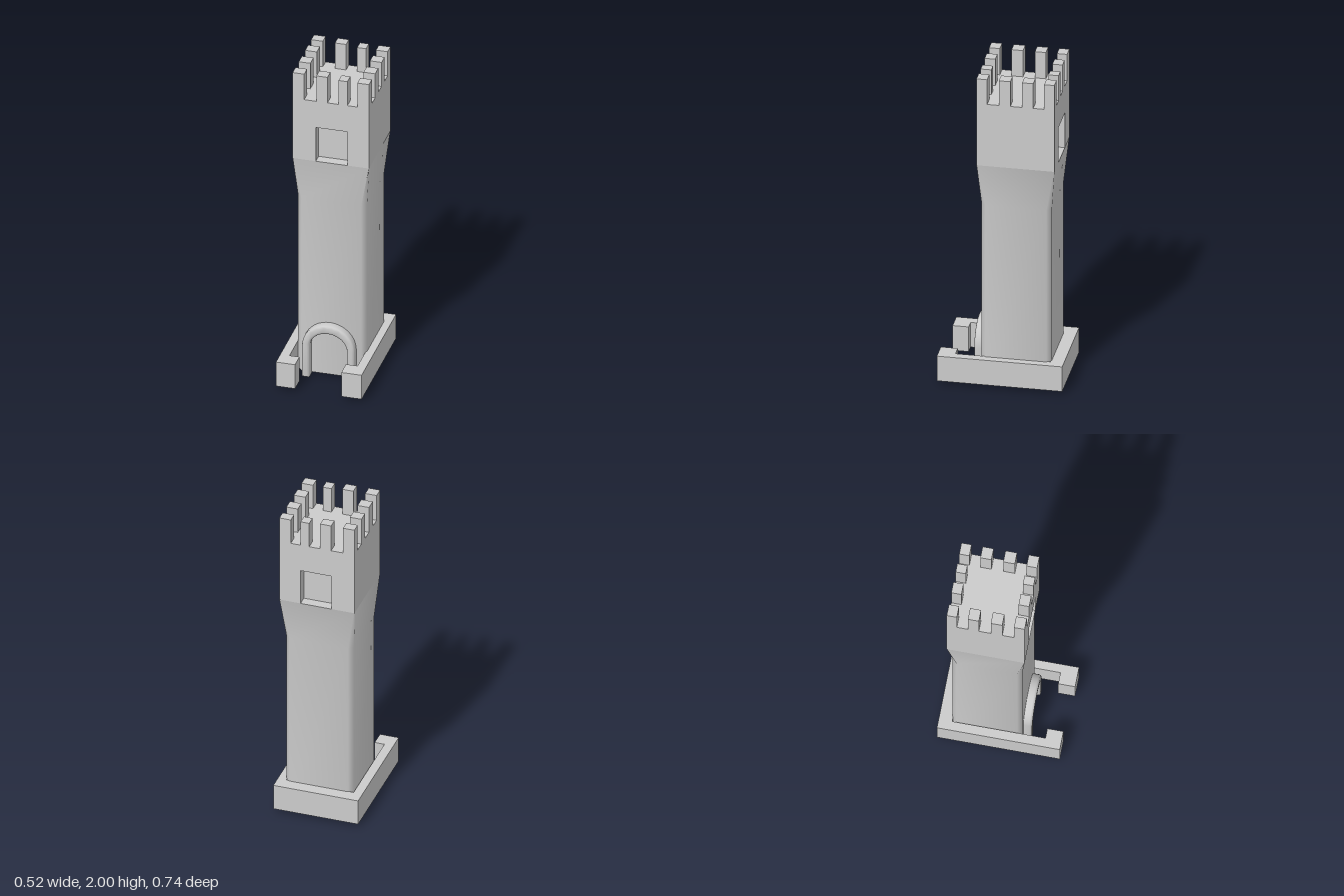
import * as THREE from 'three';
import { toCreasedNormals } from 'three/addons/utils/BufferGeometryUtils.js';

const material = new THREE.MeshStandardMaterial({ color: 0xcccccc });

function add(group, name, geometry) {
  const mesh = new THREE.Mesh(geometry, material);
  mesh.name = name;
  group.add(mesh);
  return mesh;
}

// Box given by its limits on each axis
function boxBetween(x0, x1, y0, y1, z0, z1) {
  return new THREE.BoxGeometry(x1 - x0, y1 - y0, z1 - z0)
    .translate((x0 + x1) / 2, (y0 + y1) / 2, (z0 + z1) / 2);
}

function polygon(points) {
  return new THREE.Shape(points.map(([x, y]) => new THREE.Vector2(x, y)));
}

// Loft of rectangles with cut corners, capped at both ends
function loft(sections) {
  const positions = [], index = [], n = 8;
  for (const { y, x0, x1, z0, z1, c } of sections) {
    const ring = [[x1 - c, z1], [x1, z1 - c], [x1, z0 + c], [x1 - c, z0],
      [x0 + c, z0], [x0, z0 + c], [x0, z1 - c], [x0 + c, z1]];
    for (const [x, z] of ring) positions.push(x, y, z);
  }
  const top = (sections.length - 1) * n;
  for (let s = 0; s < top; s += n) {
    for (let i = 0; i < n; i++) {
      const a = s + i, b = s + (i + 1) % n;
      index.push(a, b, b + n, a, b + n, a + n);
    }
  }
  for (let i = 1; i < n - 1; i++) {
    index.push(0, i + 1, i, top, top + i, top + i + 1);
  }
  const geometry = new THREE.BufferGeometry();
  geometry.setAttribute('position', new THREE.Float32BufferAttribute(positions, 3));
  geometry.setIndex(index);
  return toCreasedNormals(geometry, 0.9);
}

export function createModel() {
  const model = new THREE.Group();
  model.name = 'watchtower';

  // Shaft with softened corners, flaring out to a square head
  const low = { x0: -0.2, x1: 0.215, z0: -0.295, z1: 0.12, c: 0.028 };
  const head = { x0: -0.22, x1: 0.24, z0: -0.32, z1: 0.14, c: 0.002 };
  add(model, 'towerShaft', loft([
    { y: 0.01, ...low },
    { y: 1.16, ...low },
    { y: 1.43, ...head },
  ]));

  // Head: solid core, with a front and a back wall notched for the windows
  const sill = 1.43, lintel = 1.655, deck = 1.83, depth = 0.06;
  add(model, 'towerHeadCore',
    boxBetween(head.x0, head.x1, sill, deck, head.z0 + depth, head.z1 - depth));
  const windowWall = polygon([
    [head.x0, sill], [-0.08, sill], [-0.08, lintel], [0.11, lintel],
    [0.11, sill], [head.x1, sill], [head.x1, deck], [head.x0, deck],
  ]);
  for (const [name, z] of [['frontWindowWall', head.z1 - depth], ['backWindowWall', head.z0]]) {
    const wall = new THREE.ExtrudeGeometry(windowWall, { depth, bevelEnabled: false });
    add(model, name, wall.translate(0, 0, z));
  }

  // Merlons round the edge of the deck
  const columns = [[-0.22, -0.15], [-0.077, -0.01], [0.057, 0.11], [0.17, 0.24]];
  const rows = [[-0.32, -0.26], [-0.195, -0.13], [-0.06, 0.008], [0.077, 0.14]];
  const merlons = new THREE.Group();
  merlons.name = 'merlons';
  model.add(merlons);
  columns.forEach(([x0, x1], i) => rows.forEach(([z0, z1], j) => {
    if (i % 3 !== 0 && j % 3 !== 0) return;
    add(merlons, 'merlon', boxBetween(x0, x1, deck, i < 2 ? 2 : 1.99, z0, z1));
  }));

  // Low yard wall: a U open at the front, with inward returns beside the gate
  const yard = polygon([
    [-0.26, 0.37], [-0.26, -0.355], [-0.145, -0.355], [-0.145, -0.26],
    [-0.205, -0.26], [-0.205, 0.29], [0.208, 0.29], [0.208, -0.27],
    [0.138, -0.27], [0.138, -0.37], [0.26, -0.37], [0.26, 0.37],
  ]);
  add(model, 'yardWall', new THREE.ExtrudeGeometry(yard, { depth: 0.16, bevelEnabled: false })
    .rotateX(-Math.PI / 2).translate(0, 0.02, 0));

  // Rounded moulding round the arched doorway
  const bevel = 0.014;
  const arch = new THREE.Shape();
  const outer = 0.158 - bevel, inner = 0.112 + bevel;
  arch.moveTo(outer, 0.01);
  arch.lineTo(outer, 0.2);
  arch.absellipse(0, 0.2, outer, 0.155 - bevel, 0, Math.PI, false);
  arch.lineTo(-outer, 0.01);
  arch.lineTo(-inner, 0.01);
  arch.lineTo(-inner, 0.2);
  arch.absellipse(0, 0.2, inner, 0.1 + bevel, Math.PI, 0, true);
  arch.lineTo(inner, 0.01);
  const moulding = new THREE.ExtrudeGeometry(arch, {
    depth: 0.045, bevelSize: bevel, bevelThickness: bevel, bevelSegments: 2, curveSegments: 10,
  }).translate(0, 0, 0.112);
  // Keep the feet level with the ground
  const p = moulding.attributes.position;
  for (let i = 0; i < p.count; i++) p.setY(i, Math.max(p.getY(i), 0));
  add(model, 'doorArch', toCreasedNormals(moulding, 0.9));

  return model;
}
